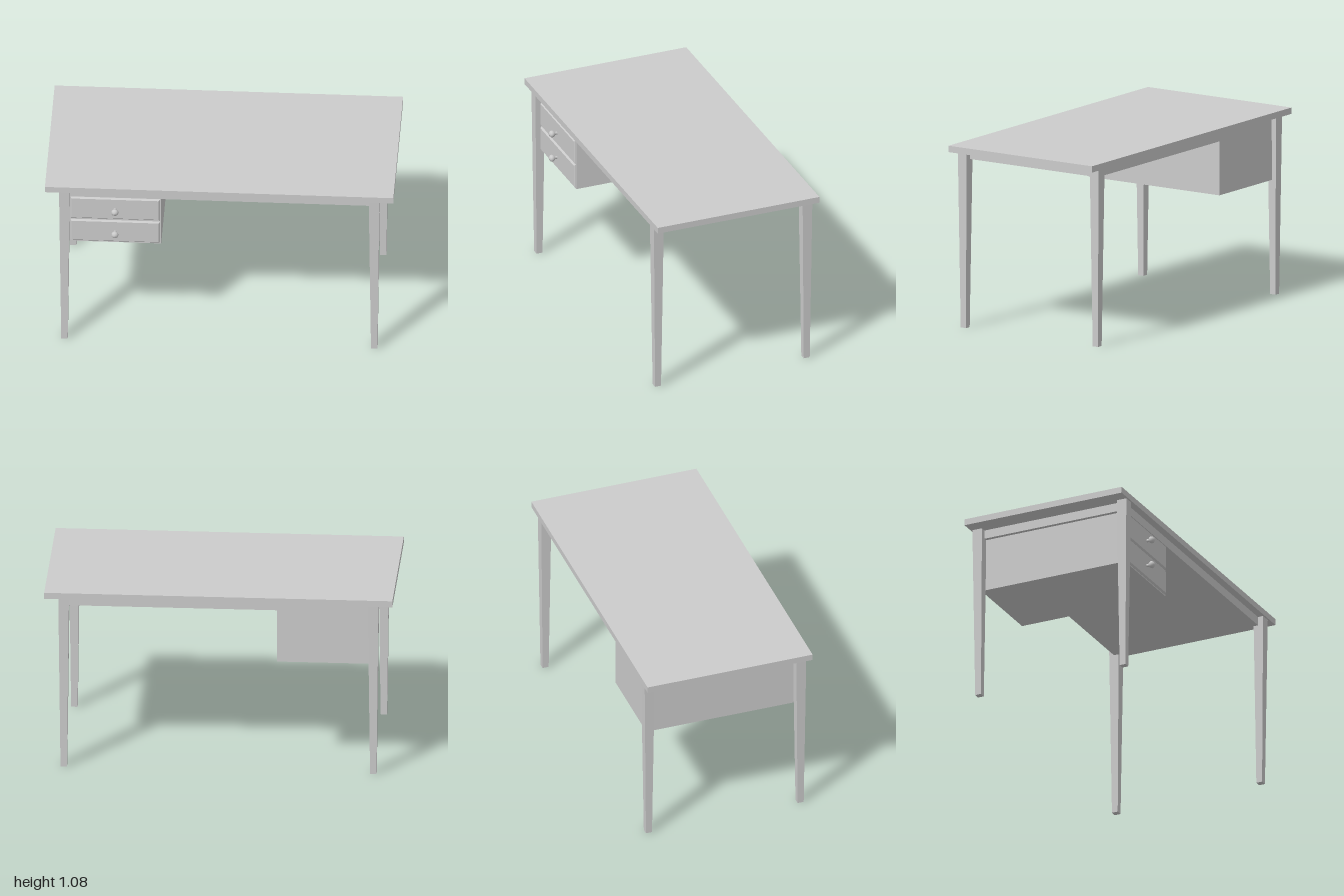
import * as THREE from 'three';

const grey = new THREE.MeshStandardMaterial({ color: 0xcccccc, flatShading: true });
const smooth = new THREE.MeshStandardMaterial({ color: 0xcccccc });

function part(name, geometry, parent, material = grey) {
  const mesh = new THREE.Mesh(geometry, material);
  mesh.name = name;
  parent.add(mesh);
  return mesh;
}

// Box given by its limits on each axis
function block(name, [x0, x1], [y0, y1], [z0, z1], parent) {
  const mesh = part(name, new THREE.BoxGeometry(x1 - x0, y1 - y0, z1 - z0), parent);
  mesh.position.set((x0 + x1) / 2, (y0 + y1) / 2, (z0 + z1) / 2);
  return mesh;
}

// Square leg narrowing towards the floor
function legGeometry(height, topWidth, bottomWidth) {
  const geo = new THREE.BoxGeometry(topWidth, height, topWidth);
  geo.translate(0, height / 2, 0);
  const pos = geo.attributes.position;
  for (let i = 0; i < pos.count; i++) {
    if (pos.getY(i) < height / 2) {
      const k = bottomWidth / topWidth;
      pos.setXYZ(i, pos.getX(i) * k, 0, pos.getZ(i) * k);
    }
  }
  geo.computeVertexNormals();
  return geo;
}

// Drawer front with chamfered edges, its back at z = 0
function drawerGeometry(width, height, chamfer) {
  const w = width / 2 - chamfer, h = height / 2 - chamfer;
  const shape = new THREE.Shape([
    new THREE.Vector2(-w, -h), new THREE.Vector2(w, -h),
    new THREE.Vector2(w, h), new THREE.Vector2(-w, h),
  ]);
  const geo = new THREE.ExtrudeGeometry(shape, {
    depth: 0.004, bevelEnabled: true, bevelThickness: chamfer, bevelSize: chamfer, bevelSegments: 1,
  });
  return geo;
}

export function createModel() {
  const desk = new THREE.Group();
  desk.name = 'desk';

  // Top and the frame beneath it
  block('tableTop', [-1, 1], [1.04, 1.077], [-0.508, 0.495], desk);
  block('apron', [-0.885, 0.885], [0.988, 1.04], [-0.467, 0.453], desk);

  // Four tapered legs
  const leg = legGeometry(1.04, 0.061, 0.037);
  for (const x of [-0.889, 0.889]) {
    for (const z of [-0.467, 0.455]) {
      part('leg', leg, desk).position.set(x, 0, z);
    }
  }

  // Hanging drawer cabinet
  const cabinet = new THREE.Group();
  cabinet.name = 'drawerCabinet';
  desk.add(cabinet);
  block('carcass', [-0.863, -0.335], [0.672, 0.99], [-0.467, 0.448], cabinet);

  // Two drawers, each with a round knob
  const front = drawerGeometry(0.516, 0.147, 0.008);
  const knob = new THREE.LatheGeometry([
    [0.009, 0], [0.009, 0.012], [0.016, 0.019], [0.021, 0.029],
    [0.019, 0.038], [0.011, 0.046], [0, 0.048],
  ].map(([r, y]) => new THREE.Vector2(r, y)), 16);
  for (const y of [0.91, 0.753]) {
    part('drawerFront', front, cabinet).position.set(-0.599, y, 0.446);
    const k = part('knob', knob, cabinet, smooth);
    k.position.set(-0.599, y, 0.46);
    k.rotation.x = Math.PI / 2;
  }
  return desk;
}
